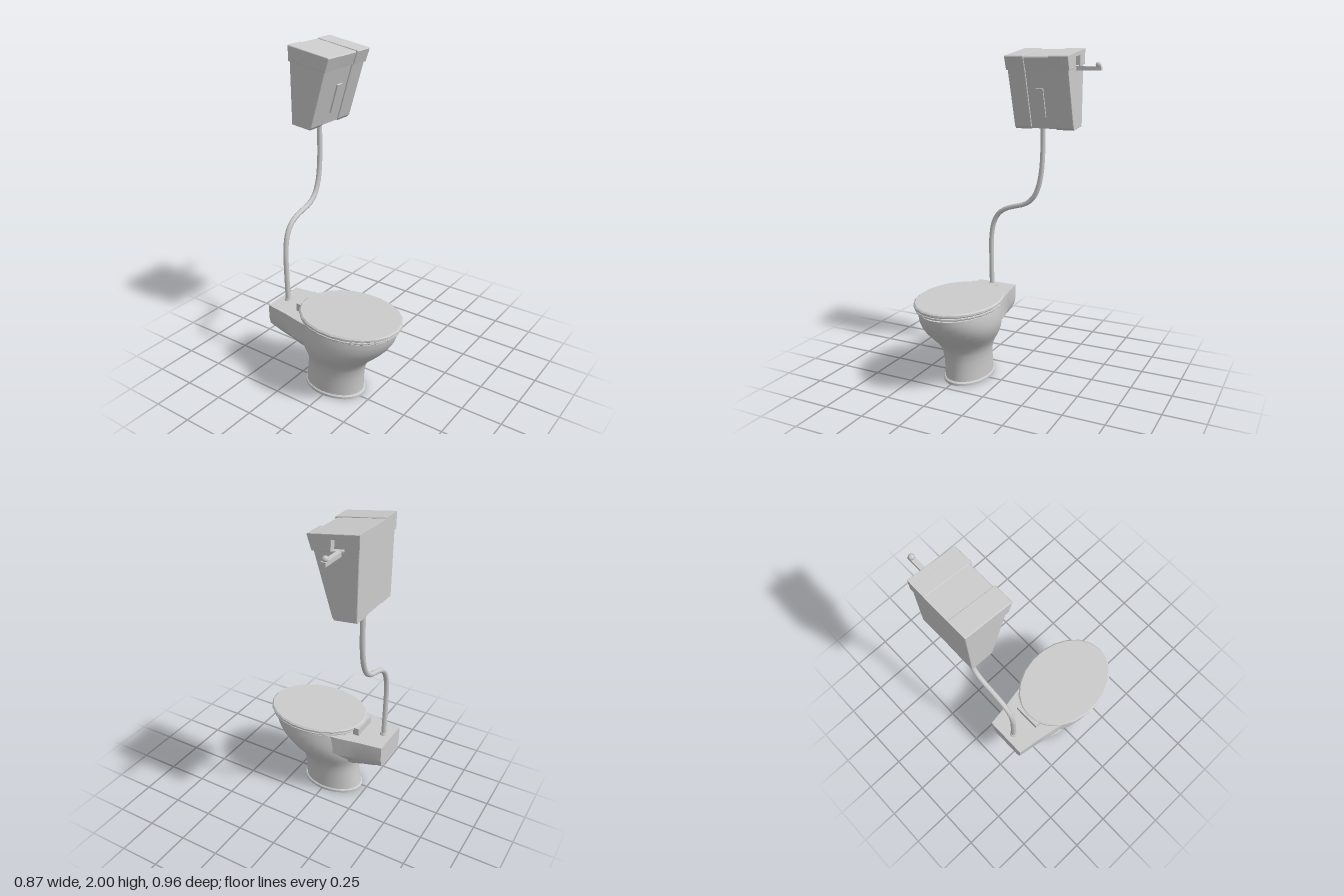
import * as THREE from 'three';
import { toCreasedNormals } from 'three/addons/utils/BufferGeometryUtils.js';

const MID_Z = 0.227; // centre line of the bowl

const material = new THREE.MeshStandardMaterial({ color: 0xcccccc });

function add(parent, name, geometry) {
  const mesh = new THREE.Mesh(geometry, material);
  mesh.name = name;
  parent.add(mesh);
  return mesh;
}

function box(parent, name, min, max) {
  const size = max.map((v, i) => v - min[i]);
  const mesh = add(parent, name, new THREE.BoxGeometry(...size));
  mesh.position.set(...max.map((v, i) => (v + min[i]) / 2));
  return mesh;
}

// Skin a list of equal-length rings, optionally closing both ends
function loft(rings, capped = true, crease = 0.6) {
  const n = rings[0].length;
  const positions = rings.flat().flatMap((p) => p.toArray());
  const index = [];
  for (let i = 0; i < rings.length - 1; i++) {
    for (let j = 0; j < n; j++) {
      const a = i * n + j, b = i * n + (j + 1) % n;
      index.push(a, b, b + n, a, b + n, a + n);
    }
  }
  if (capped) {
    [0, rings.length - 1].forEach((r, end) => {
      const centre = new THREE.Vector3();
      rings[r].forEach((p) => centre.addScaledVector(p, 1 / n));
      const c = positions.length / 3;
      positions.push(...centre.toArray());
      for (let j = 0; j < n; j++) {
        const a = r * n + j, b = r * n + (j + 1) % n;
        if (end) index.push(c, a, b);
        else index.push(c, b, a);
      }
    });
  }
  const geometry = new THREE.BufferGeometry();
  geometry.setAttribute('position', new THREE.Float32BufferAttribute(positions, 3));
  geometry.setIndex(index);
  return toCreasedNormals(geometry, crease);
}

// Horizontal ellipse between two x limits
function oval([y, xMin, xMax, halfZ], sides) {
  return Array.from({ length: sides }, (_, i) => {
    const t = (i / sides) * Math.PI * 2;
    return new THREE.Vector3(
      (xMin + xMax) / 2 + ((xMax - xMin) / 2) * Math.cos(t), y, MID_Z - halfZ * Math.sin(t));
  });
}

// Side profile in x, y pulled along z with a small bevel
function slab(parent, name, profile, z0, z1, bevel = 0.005) {
  const shape = new THREE.Shape(profile.map(([x, y]) => new THREE.Vector2(x, y)));
  const geometry = new THREE.ExtrudeGeometry(shape, {
    depth: z1 - z0 - 2 * bevel, bevelEnabled: bevel > 0, bevelThickness: bevel,
    bevelSize: bevel, bevelOffset: -bevel, bevelSegments: 2,
  });
  geometry.translate(0, 0, z0 + bevel);
  add(parent, name, geometry);
}

function buildBowl() {
  const group = new THREE.Group();
  group.name = 'bowl';
  add(group, 'foot', loft([
    [0, -0.215, 0.195, 0.144], [0.014, -0.215, 0.195, 0.144], [0.021, -0.207, 0.186, 0.138],
  ].map((r) => oval(r, 40))));

  // Outer skin up to the rim, then down into the basin
  add(group, 'pedestalAndBasin', loft([
    [0.015, -0.206, 0.181, 0.136], [0.08, -0.196, 0.182, 0.136], [0.14, -0.187, 0.188, 0.138],
    [0.19, -0.184, 0.197, 0.144], [0.225, -0.188, 0.212, 0.156], [0.26, -0.198, 0.24, 0.176],
    [0.3, -0.205, 0.282, 0.201], [0.34, -0.206, 0.325, 0.22], [0.38, -0.206, 0.36, 0.23],
    [0.42, -0.206, 0.386, 0.233], [0.46, -0.206, 0.402, 0.23], [0.485, -0.206, 0.406, 0.226],
    [0.485, -0.06, 0.36, 0.175], [0.4, -0.04, 0.31, 0.14], [0.3, 0.01, 0.21, 0.08],
    [0.25, 0.05, 0.14, 0.04],
  ].map((r) => oval(r, 40))));

  // Rear shelf: x, underside height, half width, narrowing of the underside
  const outline = [[-1, 1], [1, 1], [1, 0.45], [0.93, 0.15], [0.75, 0],
    [-0.75, 0], [-0.93, 0.15], [-1, 0.45]];
  add(group, 'rearShelf', loft([
    [-0.41, 0.33, 0.132, 1], [-0.33, 0.307, 0.143, 0.95], [-0.26, 0.286, 0.153, 0.85],
    [-0.2, 0.255, 0.165, 0.7], [-0.14, 0.25, 0.176, 0.65], [-0.07, 0.27, 0.184, 0.7],
  ].map(([x, low, half, narrow]) => outline.map(([u, v]) => new THREE.Vector3(
    x, low + (0.484 - low) * v, MID_Z + u * half * (v < 0.4 ? narrow : 1))))));
  return group;
}

function buildSeat() {
  const group = new THREE.Group();
  group.name = 'seatAndLid';
  const ring = [
    [0.497, -0.05, 0.355, 0.165], [0.497, -0.205, 0.418, 0.242], [0.503, -0.212, 0.426, 0.249],
    [0.51, -0.212, 0.426, 0.249], [0.515, -0.205, 0.418, 0.242], [0.515, -0.05, 0.355, 0.165],
  ];
  add(group, 'seatRing', loft([...ring, ring[0]].map((r) => oval(r, 22)), false));
  add(group, 'lid', loft([
    [0.515, -0.212, 0.427, 0.247], [0.521, -0.22, 0.434, 0.254],
    [0.532, -0.22, 0.434, 0.254], [0.54, -0.211, 0.425, 0.245],
  ].map((r) => oval(r, 22))));
  box(group, 'hinge', [-0.229, 0.484, 0.14], [-0.19, 0.534, 0.313]);
  return group;
}

function buildCistern() {
  const group = new THREE.Group();
  group.name = 'cistern';
  // Tank and cover profiles; the middle strips sit slightly inside the ends
  const tank = (inset) => [[-0.433, 1.54 + inset / 2], [-0.304, 1.525 + inset / 2],
    [-0.291 - inset, 1.54], [-0.183 - inset, 1.878], [-0.433, 1.912]];
  const cover = (inset) => [[-0.438, 1.908], [-0.178 - inset, 1.873],
    [-0.15 - inset, 1.95 - inset / 2], [-0.155 - inset, 1.957 - inset / 2], [-0.438, 2 - inset / 2]];

  slab(group, 'tankEnd', tank(0), -0.33, -0.215);
  slab(group, 'tankMiddle', tank(0.01), -0.23, -0.045, 0);
  slab(group, 'tankEnd', tank(0), -0.06, 0.05);
  slab(group, 'coverEnd', cover(0), -0.305, -0.217);
  slab(group, 'coverMiddle', cover(0.01), -0.23, -0.045, 0);
  slab(group, 'coverEnd', cover(0), -0.062, 0.058);

  // Cover wall with a notch for the flush lever
  const [backLow, ...rest] = cover(0);
  slab(group, 'notchedCoverWall', [backLow, [-0.358, 1.897], [-0.358, 1.958], [-0.285, 1.948],
    [-0.285, 1.887], ...rest], -0.338, -0.3, 0.003);

  const panel = add(group, 'frontPanel', new THREE.BoxGeometry(0.02, 0.18, 0.046));
  panel.position.set(-0.254, 1.686, -0.137);
  panel.rotation.z = -0.309;

  box(group, 'flushLever', [-0.338, 1.872, -0.48], [-0.311, 1.896, -0.28]);
  const knob = add(group, 'leverKnob', new THREE.SphereGeometry(0.017, 8, 6));
  knob.position.set(-0.325, 1.904, -0.459);
  return group;
}

function buildPipe() {
  const group = new THREE.Group();
  group.name = 'flushPipe';
  const path = [
    [1.54, -0.11], [1.4, -0.11], [1.26, -0.102], [1.16, -0.082], [1.09, -0.048],
    [1.047, 0.005], [1.026, 0.075], [1.007, 0.135], [0.973, 0.187], [0.915, 0.223],
    [0.82, 0.242], [0.68, 0.244], [0.48, 0.24],
  ].map(([y, z]) => new THREE.Vector3(-0.355, y, z));
  add(group, 'pipe', new THREE.TubeGeometry(new THREE.CatmullRomCurve3(path), 40, 0.0155, 10));
  const collar = add(group, 'collar', new THREE.CylinderGeometry(0.019, 0.023, 0.014, 12));
  collar.position.set(-0.355, 0.49, 0.24);
  return group;
}

export function createModel() {
  const model = new THREE.Group();
  model.name = 'highCisternToilet';
  model.add(buildBowl(), buildSeat(), buildCistern(), buildPipe());
  return model;
}
